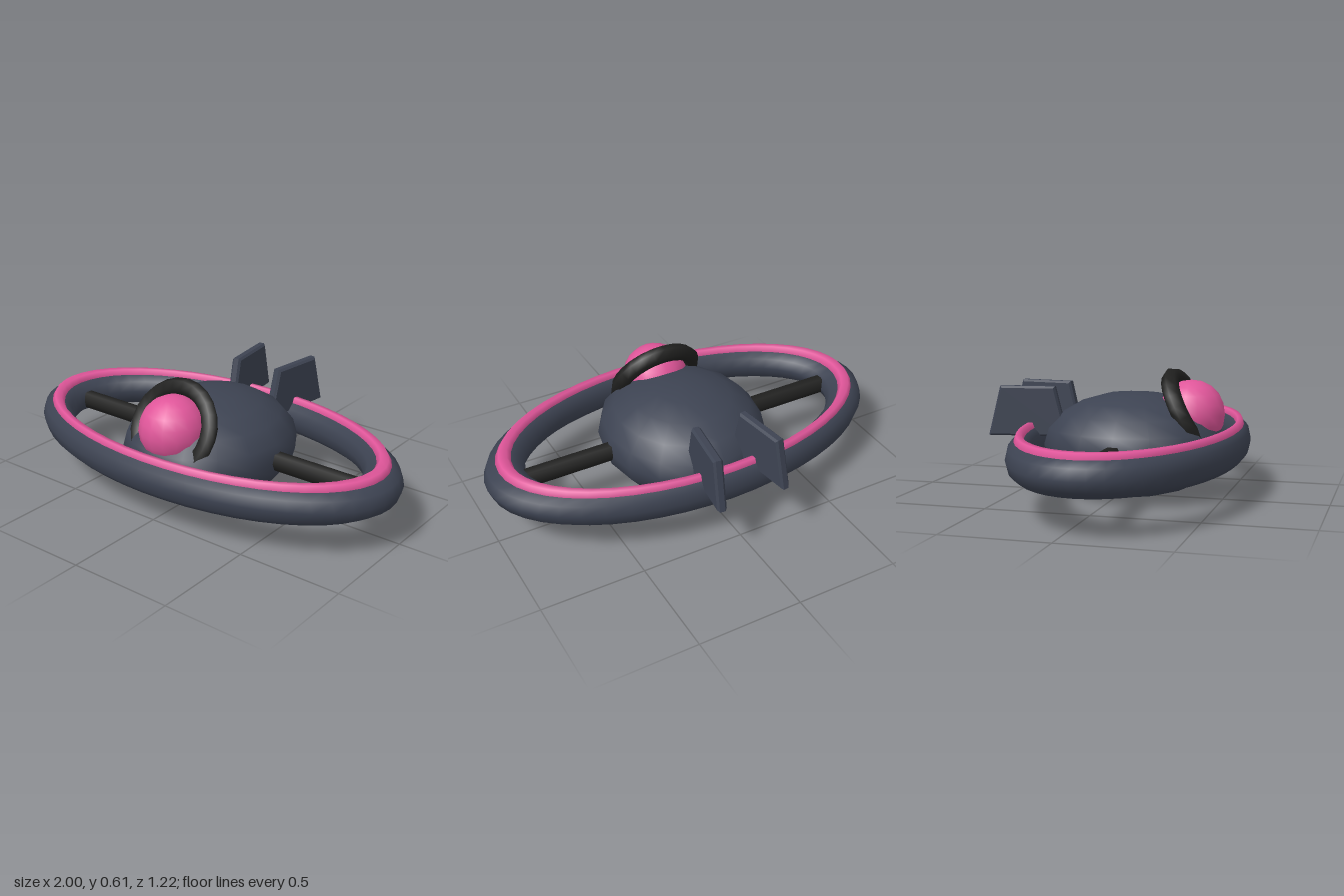
import * as THREE from 'three';

const slate = new THREE.MeshStandardMaterial({ color: 0x3d4352 });
slate.name = 'slate';
const pink = new THREE.MeshStandardMaterial({ color: 0xe0569a });
pink.name = 'pink';
const black = new THREE.MeshStandardMaterial({ color: 0x20201f });
black.name = 'black';

const MID_Z = 0.07; // centre of hull and ring
const RING_DEPTH = 0.535; // ring is an ellipse, narrower front to back

export function createModel() {
  const model = new THREE.Group();
  model.name = 'hoverCraft';

  const add = (name, geometry, material, x, y, z) => {
    const mesh = new THREE.Mesh(geometry, material);
    mesh.name = name;
    mesh.position.set(x, y, z);
    model.add(mesh);
    return mesh;
  };

  // Egg-shaped hull
  const hull = new THREE.SphereGeometry(1, 16, 10).scale(0.4, 0.25, 0.44);
  add('hull', hull, slate, 0, 0.252, MID_Z);

  // Oval ring with a pink trim let into its top
  const ovalRing = (radius, tube, sides) =>
    new THREE.TorusGeometry(radius, tube, sides, 48)
      .rotateX(Math.PI / 2)
      .scale(1, 0.85, RING_DEPTH);
  add('ring', ovalRing(0.9, 0.1, 10), slate, 0, 0.252, MID_Z);
  add('ringTrim', ovalRing(0.9, 0.04, 6), pink, 0, 0.325, MID_Z);

  // Canopy bubble and the tilted hoop around it
  add('canopy', new THREE.SphereGeometry(0.16, 16, 10), pink, 0, 0.405, 0.345);
  const hoop = new THREE.TorusGeometry(0.197, 0.041, 6, 24);
  add('canopyHoop', hoop, black, 0, 0.405, 0.345).rotation.x = -0.5;

  // Fin outline, drawn as (-z, y)
  const outline = new THREE.Shape();
  outline.moveTo(-0.18, -0.11);
  outline.lineTo(0.18, -0.11);
  outline.lineTo(0.125, 0.11);
  outline.lineTo(-0.125, 0.11);
  outline.closePath();
  const fin = new THREE.ExtrudeGeometry(outline, {
    depth: 0.026, bevelEnabled: true, bevelThickness: 0.01, bevelSize: 0.01, bevelSegments: 1,
  }).translate(0, 0, -0.013).rotateY(Math.PI / 2);

  for (const side of [1, -1]) {
    const label = side > 0 ? 'left' : 'right';

    // Six-sided strut joining hull and ring
    const strut = new THREE.CylinderGeometry(0.045, 0.045, 0.52, 6).rotateZ(Math.PI / 2);
    add(label + 'Strut', strut, black, side * 0.59, 0.252, MID_Z);

    // Tail fin, splayed outward to the rear
    add(label + 'Fin', fin, slate, side * 0.14, 0.408, -0.42).rotation.y = -side * 0.13;
  }
  return model;
}
